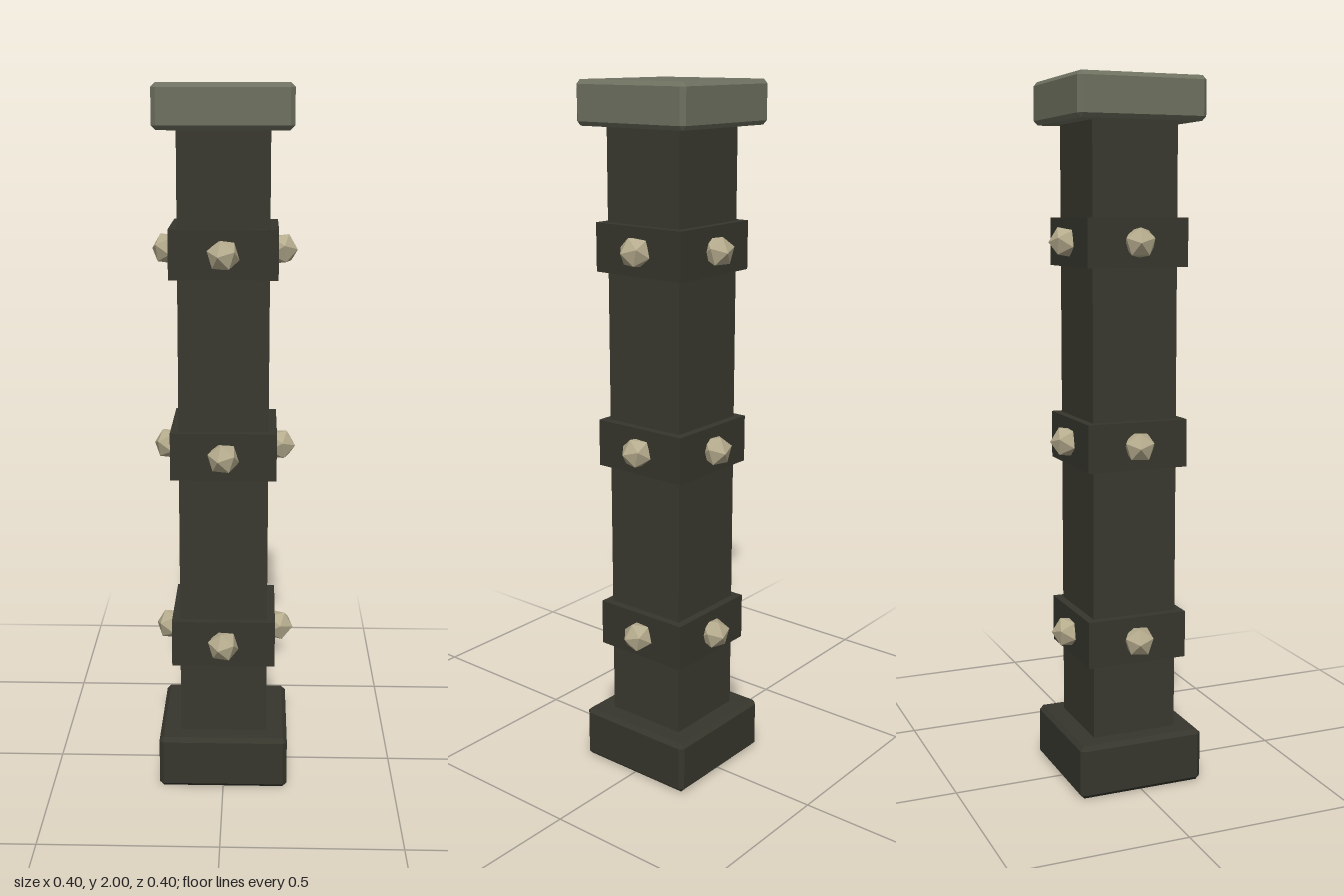
import * as THREE from 'three';
import { ConvexGeometry } from 'three/addons/geometries/ConvexGeometry.js';

function material(name, color) {
  const m = new THREE.MeshStandardMaterial({ color, flatShading: true });
  m.name = name;
  return m;
}

// Square block with every edge cut at 45 degrees
function chamferedBlock(half, height, c) {
  const points = [];
  const h = height / 2;
  for (const x of [-1, 1]) for (const y of [-1, 1]) for (const z of [-1, 1]) {
    points.push(
      new THREE.Vector3(x * half, y * (h - c), z * (half - c)),
      new THREE.Vector3(x * (half - c), y * h, z * (half - c)),
      new THREE.Vector3(x * (half - c), y * (h - c), z * half)
    );
  }
  return new ConvexGeometry(points);
}

export function createModel() {
  const group = new THREE.Group();
  group.name = 'pillar';
  const shaftMat = material('dark stone', 0x39382f);
  const trimMat = material('dark trim', 0x36362d);
  const capMat = material('grey green stone', 0x6e7160);
  const studMat = material('pale stud', 0xb5ab8d);

  const add = (name, geometry, mat, y, parent = group) => {
    const mesh = new THREE.Mesh(geometry, mat);
    mesh.name = name;
    mesh.position.y = y;
    parent.add(mesh);
    return mesh;
  };

  // Base, shaft and cap
  add('base', chamferedBlock(0.186, 0.155, 0.012), trimMat, 0.0775);
  add('shaft', new THREE.BoxGeometry(0.25, 1.78, 0.25), shaftMat, 1.01);
  add('cap', chamferedBlock(0.186, 0.12, 0.012), capMat, 1.94);

  // Faceted stud standing on one of its points
  const studGeo = new THREE.IcosahedronGeometry(0.046, 0);
  studGeo.rotateX(-Math.atan(2 / (1 + Math.sqrt(5))));
  studGeo.rotateY(-Math.PI / 10);
  studGeo.translate(0, 0, 0.158);

  // Three bands, each with a stud on all four sides
  const bandGeo = new THREE.BoxGeometry(0.296, 0.135, 0.296);
  for (const y of [0.438, 0.997, 1.556]) {
    const band = new THREE.Group();
    band.name = 'studdedBand';
    band.position.y = y;
    group.add(band);
    add('band', bandGeo, trimMat, 0, band);
    for (let i = 0; i < 4; i++) {
      add('stud', studGeo, studMat, 0, band).rotation.y = i * Math.PI / 2;
    }
  }
  return group;
}
